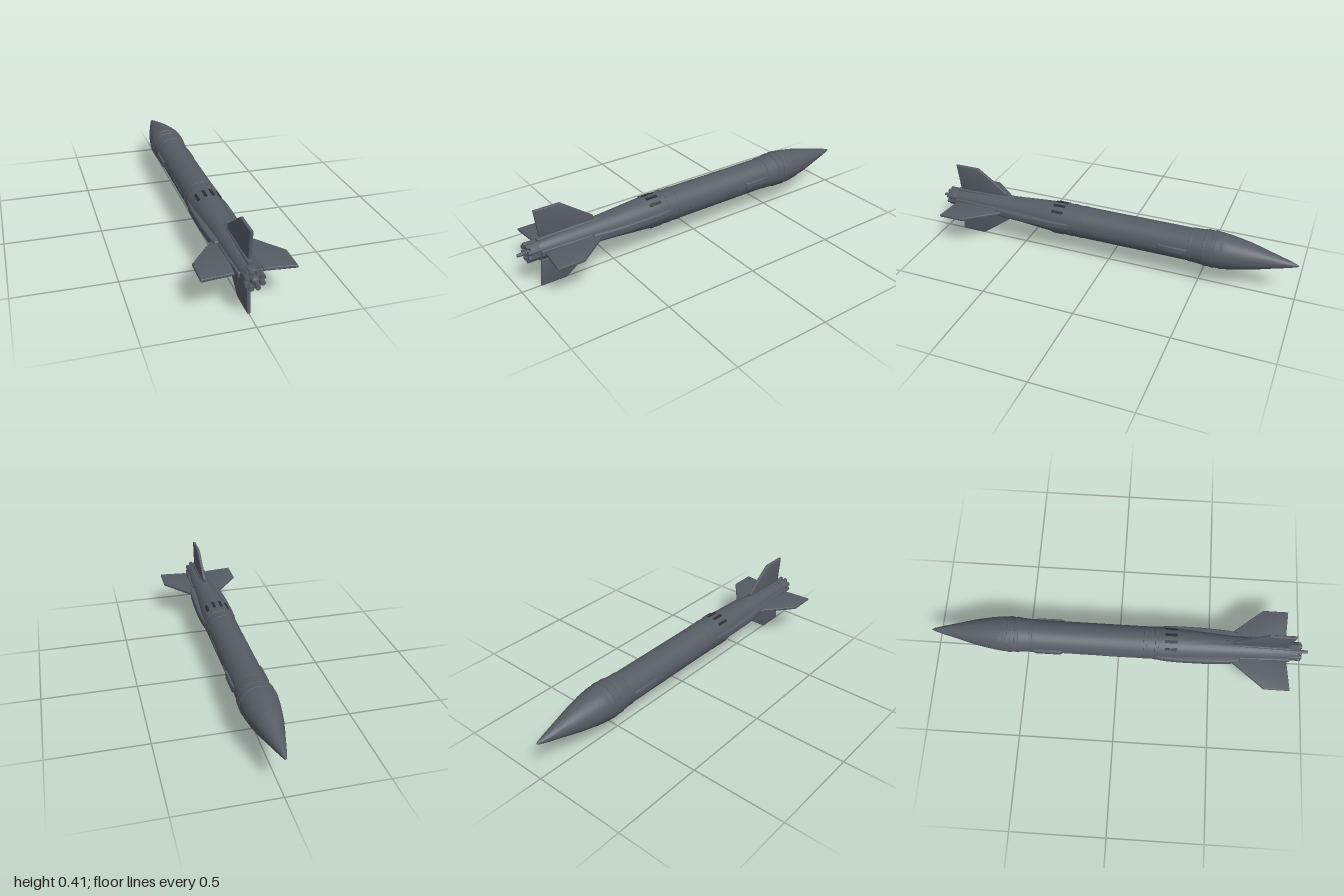
import * as THREE from 'three';
import { toCreasedNormals } from 'three/addons/utils/BufferGeometryUtils.js';

const hull = new THREE.MeshStandardMaterial({ color: 0x555c63 });
hull.name = 'hull grey';
const recess = new THREE.MeshStandardMaterial({ color: 0x2b2f33 });
recess.name = 'recess dark grey';

const vec = (pts) => pts.map(([r, a]) => new THREE.Vector2(r, a));

export function createModel() {
  const model = new THREE.Group();
  model.name = 'rocket';
  // Parts are built along +y (nose up), then laid down with the nose towards -z
  const rocket = new THREE.Group();
  rocket.name = 'rocketBody';
  rocket.rotation.x = -Math.PI / 2;
  rocket.position.y = 0.205;
  model.add(rocket);

  const add = (name, geometry, material = hull) => {
    const mesh = new THREE.Mesh(geometry, material);
    mesh.name = name;
    rocket.add(mesh);
    return mesh;
  };
  const lathe = (name, pts, seg = 48) =>
    add(name, toCreasedNormals(new THREE.LatheGeometry(vec(pts), seg), 0.5));
  // Bevelled plate outlined in (radius, along), turned about the axis
  const plate = (name, pts, thickness, bevel, angle) => {
    const g = new THREE.ExtrudeGeometry(new THREE.Shape(vec(pts)), {
      depth: thickness - 2 * bevel, bevelThickness: bevel, bevelSize: bevel,
      bevelOffset: -bevel, bevelSegments: 3,
    });
    g.translate(0, 0, -thickness / 2 + bevel);
    add(name, toCreasedNormals(g, 0.6)).rotation.y = -angle;
  };
  // Box lying on the hull at a given angle
  const block = (name, radius, along, length, width, height, angle, material) => {
    const g = new THREE.BoxGeometry(height, length, width);
    g.translate(radius, along, 0);
    add(name, g, material).rotation.y = -angle;
  };

  // Hull from tail to nose tip
  lathe('hull', [
    [0, -0.9], [0.047, -0.9], [0.05, -0.88], [0.056, -0.75], [0.062, -0.62], [0.069, -0.5],
    [0.077, -0.4], [0.084, -0.3], [0.086, -0.25], [0.085, -0.15], [0.085, 0.44],
    [0.088, 0.48], [0.092, 0.53], [0.094, 0.57], [0.093, 0.6], [0.089, 0.64],
    [0.081, 0.69], [0.07, 0.75], [0.055, 0.81], [0.039, 0.87], [0.021, 0.94], [0.008, 0.985], [0, 1],
  ]);

  // Raised bands around the hull
  for (const [along, r] of [[0.575, 0.096], [0.535, 0.0945], [0.46, 0.088], [-0.14, 0.0865], [-0.2, 0.0875]])
    lathe('hullBand', [[r - 0.006, along - 0.011], [r, along - 0.008], [r, along + 0.008], [r - 0.006, along + 0.011]]);

  // Fins and their root strakes
  for (let k = 0; k < 4; k++) {
    const angle = k * Math.PI / 2;
    const span = k % 2 ? 0.205 : 0.219;
    plate('fin', [[0.045, -0.52], [0.066, -0.6], [0.085, -0.6], [span, -0.765], [span, -0.9],
      [0.064, -0.885], [0.06, -0.8], [0.045, -0.8]], 0.016, 0.005, angle);
    plate('finRoot', [[0.03, -0.5], [0.066, -0.56], [0.064, -0.74], [0.058, -0.9], [0.03, -0.9]], 0.03, 0.006, angle);
  }

  for (const side of [0, Math.PI]) {
    // Long fairing leading into the side fin
    plate('sideFairing', [[0.06, -0.18], [0.086, -0.19], [0.094, -0.25], [0.097, -0.32], [0.096, -0.45],
      [0.09, -0.57], [0.08, -0.64], [0.04, -0.64]], 0.042, 0.008, side);
    // Forward cable cover and mid rail
    plate('sideCover', [[0.07, 0.29], [0.09, 0.295], [0.094, 0.31], [0.094, 0.43], [0.088, 0.45], [0.07, 0.45]],
      0.036, 0.004, side);
    block('coverLine', 0.0925, 0.37, 0.12, 0.006, 0.005, side);
    block('midRail', 0.0845, 0.26, 0.07, 0.007, 0.007, side);
    block('midRail', 0.0845, 0.0, 0.16, 0.016, 0.007, side);
  }

  // Vent slots above and below
  for (const base of [90, 270])
    for (const off of [-41, -13, 13, 41])
      block('ventSlot', 0.0835, -0.275, 0.065, 0.015, 0.009, THREE.MathUtils.degToRad(base + off), recess);

  // Low access panels on the nose shoulder
  for (let k = 0; k < 4; k++) {
    const g = new THREE.LatheGeometry(
      vec([[0.09, 0.61], [0.0942, 0.613], [0.0905, 0.64], [0.0832, 0.688], [0.08, 0.69]]),
      8, Math.PI * (0.25 + k * 0.5) - 0.22, 0.44);
    add('nosePanel', g);
  }

  // Engine collar, nozzle ring and central spike
  lathe('engineCollar', [[0.03, -0.945], [0.044, -0.945], [0.047, -0.94], [0.047, -0.9], [0.043, -0.885]], 32);
  lathe('engineBase', [[0, -0.94], [0.04, -0.94]], 32);
  for (let k = 0; k < 8; k++) {
    const a = (k + 0.5) * Math.PI / 4;
    const g = new THREE.CylinderGeometry(0.011, 0.012, 0.07, 12);
    g.translate(0.038 * Math.cos(a), -0.925, 0.038 * Math.sin(a));
    add('smallNozzle', g);
  }
  lathe('centralNozzle', [[0, -1], [0.007, -1], [0.009, -0.985], [0.009, -0.965], [0.016, -0.96],
    [0.019, -0.95], [0.019, -0.93]], 20);

  return model;
}
